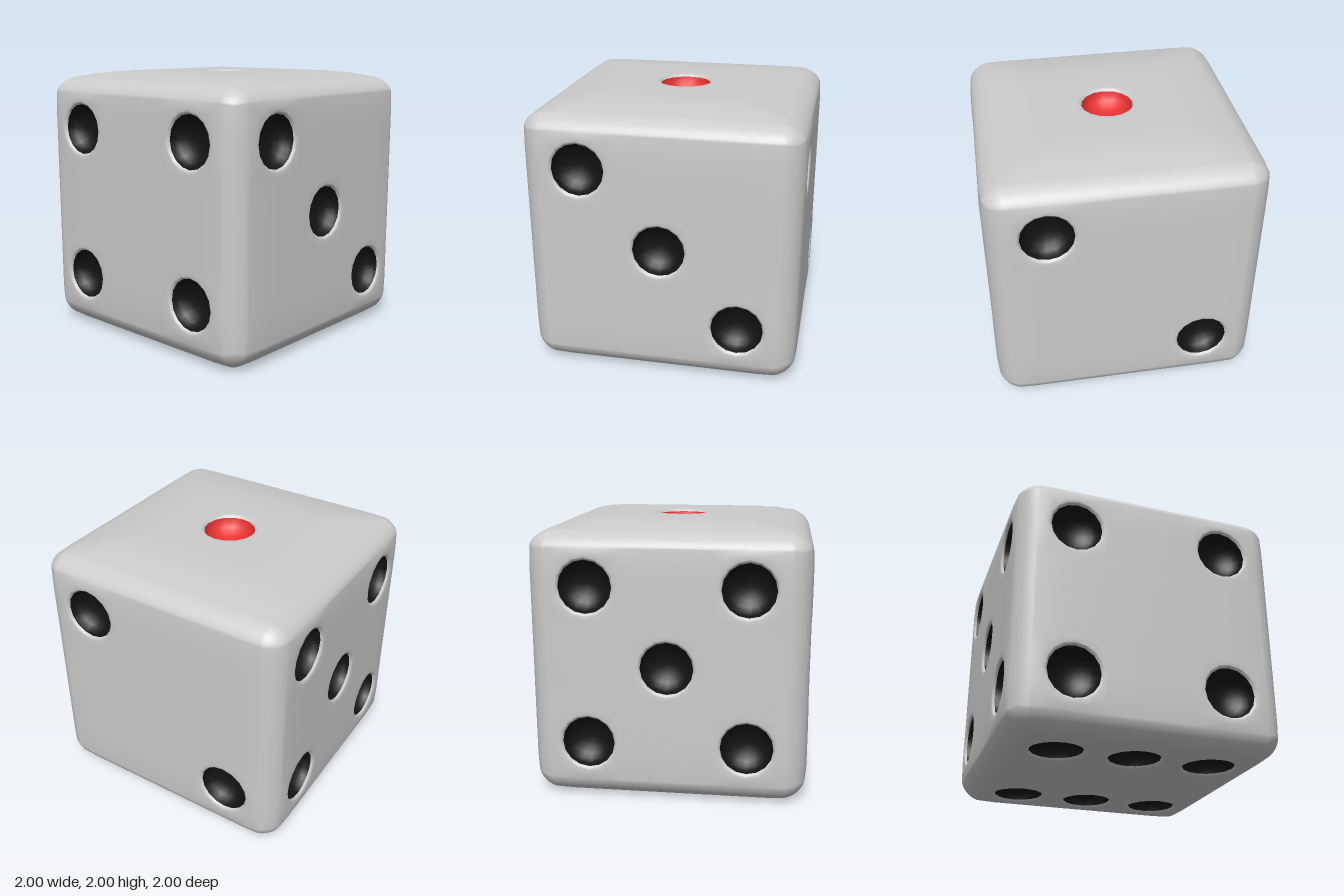
import * as THREE from 'three';
import { mergeVertices } from 'three/addons/utils/BufferGeometryUtils.js';

const CORE = 0.8, EDGE = 0.2;           // flat half-size and edge radius
const CELL = 0.285, STEP = 0.57;        // each face carries a 3 x 3 layout of cells
const PIP_R = 0.19, LIP_R = 0.212, LIP_D = 0.02, PIP_D = 0.15;
const SEG = 16;

// Face frames (u x v = normal) and pip positions in cell steps
const FACES = [
  { name: 'front', n: [0, 0, 1], u: [1, 0, 0], v: [0, 1, 0], pips: [[-1, -1], [-1, 1], [1, -1], [1, 1]] },
  { name: 'back', n: [0, 0, -1], u: [-1, 0, 0], v: [0, 1, 0], pips: [[-1, 1], [1, -1]] },
  { name: 'left', n: [1, 0, 0], u: [0, 0, -1], v: [0, 1, 0], pips: [[-1, 1], [0, 0], [1, -1]] },
  { name: 'right', n: [-1, 0, 0], u: [0, 0, 1], v: [0, 1, 0], pips: [[-1, -1], [-1, 1], [0, 0], [1, -1], [1, 1]] },
  { name: 'top', n: [0, 1, 0], u: [1, 0, 0], v: [0, 0, -1], pips: [[0, 0]], color: 0xe63030 },
  { name: 'bottom', n: [0, -1, 0], u: [1, 0, 0], v: [0, 0, 1], pips: [[-1, -1], [0, -1], [1, -1], [-1, 1], [0, 1], [1, 1]] },
];

// Maps face coordinates to the rounded cube, sunk by depth along the face normal
function facePoint(face, u, v, depth = 0) {
  const n = new THREE.Vector3(...face.n);
  const p = n.clone()
    .addScaledVector(new THREE.Vector3(...face.u), u)
    .addScaledVector(new THREE.Vector3(...face.v), v);
  const core = p.clone().clampScalar(-CORE, CORE);
  p.sub(core).setLength(EDGE).add(core);
  // softer, wider shoulders around the top
  const w = THREE.MathUtils.clamp((p.y - CORE) / EDGE, 0, 1);
  const fall = (t) => THREE.MathUtils.smoothstep(Math.abs(t), 0.5, 0.95);
  p.y -= 0.05 * w * Math.max(fall(p.x), fall(p.z));
  p.addScaledVector(n, -depth);
  p.y += 1;
  return p;
}

function addQuad(out, a, b, c, d) {
  for (const p of [a, b, c, a, c, d]) out.push(p.x, p.y, p.z);
}

// Joins successive rings of points, outermost first
function addRings(out, rings) {
  for (let r = 0; r + 1 < rings.length; r++) {
    for (let k = 0; k < SEG; k++) {
      const m = (k + 1) % SEG;
      addQuad(out, rings[r][k], rings[r][m], rings[r + 1][m], rings[r + 1][k]);
    }
  }
}

// Ring around a pip: square = 1 follows the cell border, square = 0 is a circle
function ring(face, cu, cv, radius, depth, square = 0) {
  return Array.from({ length: SEG }, (_, k) => {
    const a = (k / SEG) * Math.PI * 2 - Math.PI / 4;
    const side = Math.floor(k / 4) * Math.PI / 2;
    const f = (k % 4) / 2 - 1;
    const su = CELL * (Math.cos(side) - f * Math.sin(side));
    const sv = CELL * (Math.sin(side) + f * Math.cos(side));
    const u = THREE.MathUtils.lerp(radius * Math.cos(a), su, square);
    const v = THREE.MathUtils.lerp(radius * Math.sin(a), sv, square);
    return facePoint(face, cu + u, cv + v, depth);
  });
}

function smoothGeometry(positions) {
  const g = new THREE.BufferGeometry();
  g.setAttribute('position', new THREE.Float32BufferAttribute(positions, 3));
  const merged = mergeVertices(g, 1e-4);
  merged.computeVertexNormals();
  return merged;
}

// Grid lines across a face: fine at the rounded edges, four steps per cell
function gridLines() {
  const lines = [];
  const edge = 3 * CELL;
  for (let i = 0; i < 6; i++) lines.push(-1 + (1 - edge) * i / 6);
  for (let i = 0; i <= 12; i++) lines.push(-edge + 2 * edge * i / 12);
  for (let i = 1; i <= 6; i++) lines.push(edge + (1 - edge) * i / 6);
  return lines;
}

export function createModel() {
  const group = new THREE.Group();
  group.name = 'die';
  const bodyMaterial = new THREE.MeshStandardMaterial({ color: 0xcccccc });
  const lines = gridLines();
  const body = [];

  for (const face of FACES) {
    const centres = face.pips.map(([a, b]) => [a * STEP, b * STEP]);

    // Face skin, leaving out the cells that hold pips
    for (let i = 0; i + 1 < lines.length; i++) {
      for (let j = 0; j + 1 < lines.length; j++) {
        const [u0, u1, v0, v1] = [lines[i], lines[i + 1], lines[j], lines[j + 1]];
        const inPip = centres.some(([cu, cv]) =>
          Math.abs((u0 + u1) / 2 - cu) < CELL && Math.abs((v0 + v1) / 2 - cv) < CELL);
        if (inPip) continue;
        addQuad(body, facePoint(face, u0, v0), facePoint(face, u1, v0),
          facePoint(face, u1, v1), facePoint(face, u0, v1));
      }
    }

    const pips = [];
    for (const [cu, cv] of centres) {
      // Skin around the pip with a softened lip
      addRings(body, [
        ring(face, cu, cv, LIP_R, 0, 1),
        ring(face, cu, cv, LIP_R, 0, 0.4),
        ring(face, cu, cv, LIP_R, 0),
        ring(face, cu, cv, 0.2, 0.006),
        ring(face, cu, cv, PIP_R, LIP_D),
      ]);
      // Hollow bowl
      const bowl = [];
      for (let k = 0; k <= 6; k++) {
        const a = (k / 6) * Math.PI / 2;
        bowl.push(ring(face, cu, cv, PIP_R * Math.cos(a), LIP_D + (PIP_D - LIP_D) * Math.sin(a)));
      }
      addRings(pips, bowl);
    }
    const pipMesh = new THREE.Mesh(smoothGeometry(pips),
      new THREE.MeshStandardMaterial({ color: face.color ?? 0x121212 }));
    pipMesh.name = face.name + 'Pips';
    group.add(pipMesh);
  }

  const bodyMesh = new THREE.Mesh(smoothGeometry(body), bodyMaterial);
  bodyMesh.name = 'body';
  group.add(bodyMesh);
  return group;
}
